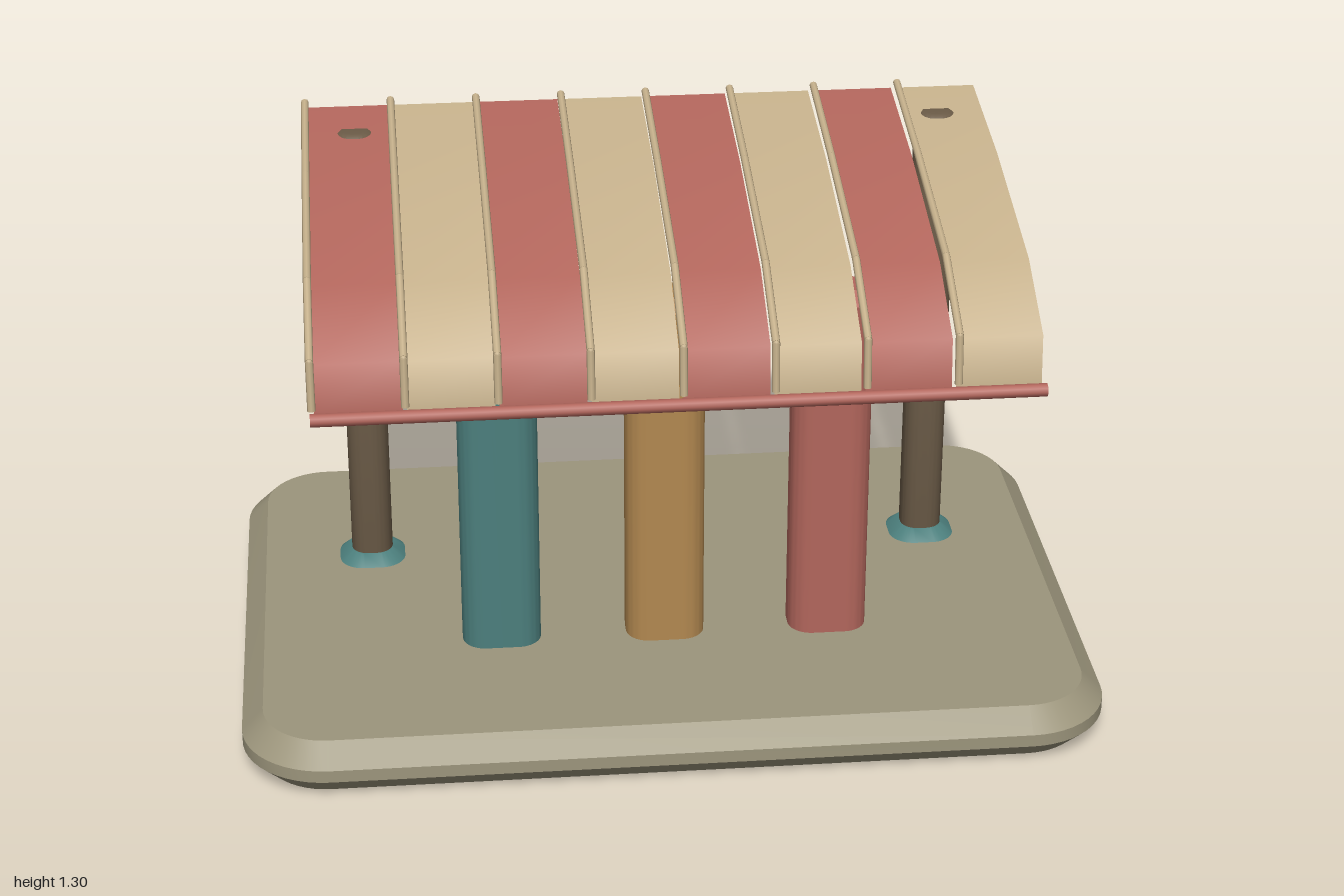
import * as THREE from 'three';
import { toCreasedNormals } from 'three/addons/utils/BufferGeometryUtils.js';

const mat = (name, color, side = THREE.FrontSide) =>
  Object.assign(new THREE.MeshStandardMaterial({ color, side }), { name });

// Upright block with rounded corners in plan and bevelled ends, from y0 to y1
function roundedBlock(w, d, y0, y1, radius, bevel, bevelSegments = 1, bevelHeight = bevel) {
  const r = radius - bevel, x = w / 2 - radius, z = d / 2 - radius;
  const shape = new THREE.Shape();
  [[x, z], [-x, z], [-x, -z], [x, -z]].forEach(([cx, cz], i) =>
    shape.absarc(cx, cz, r, i * Math.PI / 2, (i + 1) * Math.PI / 2, false));
  const geo = new THREE.ExtrudeGeometry(shape, {
    depth: y1 - y0 - 2 * bevelHeight, bevelThickness: bevelHeight, bevelSize: bevel,
    bevelSegments, curveSegments: 6,
  });
  geo.rotateX(-Math.PI / 2).translate(0, y0 + bevelHeight, 0);
  return toCreasedNormals(geo, 0.7);
}

// Curved sheet following a [z, y] profile from front to back
function sheet(width, profile) {
  const pos = [], index = [];
  profile.forEach(([z, y], i) => {
    pos.push(-width / 2, y, z, width / 2, y, z);
    if (i) {
      const a = 2 * i - 2;
      index.push(a, a + 1, a + 3, a, a + 3, a + 2);
    }
  });
  const geo = new THREE.BufferGeometry();
  geo.setAttribute('position', new THREE.Float32BufferAttribute(pos, 3));
  geo.setIndex(index);
  geo.computeVertexNormals();
  return geo;
}

export function createModel() {
  const stone = mat('stone', 0x9c957c);
  const wood = mat('dark wood', 0x6b5b47);
  const teal = mat('teal', 0x4c7f7d);
  const ochre = mat('ochre', 0xb28850);
  const red = mat('red', 0xb2665c);
  const cream = mat('cream', 0xc6b18c);
  const redCloth = mat('red cloth', 0xb2665c, THREE.DoubleSide);
  const creamCloth = mat('cream cloth', 0xc6b18c, THREE.DoubleSide);

  const model = new THREE.Group();
  model.name = 'canopyShelter';
  const add = (name, geo, material, x = 0, y = 0, z = 0, parent = model) => {
    const mesh = new THREE.Mesh(geo, material);
    mesh.name = name;
    mesh.position.set(x, y, z);
    parent.add(mesh);
    return mesh;
  };

  // Platform
  add('platform', roundedBlock(2, 1.4, 0, 0.13, 0.2, 0.05), stone);

  // Rear posts with foot plates
  const post = roundedBlock(0.1, 0.1, 0.02, 1.26, 0.042, 0.02, 3);
  const foot = roundedBlock(0.16, 0.16, 0.105, 0.155, 0.06, 0.03, 1, 0.025);
  for (const [side, x] of [['left', 0.687], ['right', -0.687]]) {
    add(side + 'Post', post, wood, x, 0, -0.21);
    add(side + 'Foot', foot, teal, x, 0, -0.21);
  }

  // Three standing pillars
  const pillar = roundedBlock(0.185, 0.14, 0.1, 1.01, 0.055, 0.03);
  [['teal', teal], ['ochre', ochre], ['red', red]].forEach(([name, m], i) =>
    add(name + 'Pillar', pillar, m, (i - 1) * 0.388, 0, 0.212));

  // Striped canopy
  const cloth = sheet(0.191, [[0.6, 0.925], [0.588, 1.04], [0.4, 1.14], [0, 1.23], [-0.32, 1.275]]);
  for (let i = 0; i < 8; i++)
    add('canopyStripe' + (i + 1), cloth, i % 2 ? creamCloth : redCloth, -0.7 + i * 0.2);

  // Ribs above the seams, made of straight rods jointed at the bends
  const ribPath = [[0.609, 0.94], [0.597, 1.052], [0.4, 1.155], [0, 1.238], [-0.315, 1.291]]
    .map(([z, y]) => new THREE.Vector3(0, y, z));
  const up = new THREE.Vector3(0, 1, 0);
  const joint = new THREE.SphereGeometry(0.008, 8, 6);
  const rods = ribPath.slice(1).map((b, i) => {
    const a = ribPath[i], dir = b.clone().sub(a);
    const geo = new THREE.CylinderGeometry(0.009, 0.009, dir.length(), 8);
    geo.applyQuaternion(new THREE.Quaternion().setFromUnitVectors(up, dir.normalize()));
    return geo.translate(0, (a.y + b.y) / 2, (a.z + b.z) / 2);
  });
  for (let i = 0; i < 8; i++) {
    const rib = new THREE.Group();
    rib.name = 'canopyRib' + (i + 1);
    rib.position.x = -0.801 + i * 0.2014;
    rods.forEach((geo) => add('ribRod', geo, cream, 0, 0, 0, rib));
    ribPath.slice(1, -1).forEach((p) => add('ribJoint', joint, cream, 0, p.y, p.z, rib));
    model.add(rib);
  }

  // Front rail along the canopy hem
  const rail = new THREE.CylinderGeometry(0.015, 0.015, 1.61, 10).rotateZ(Math.PI / 2);
  add('frontRail', rail, red, 0, 0.92, 0.615);

  return model;
}
